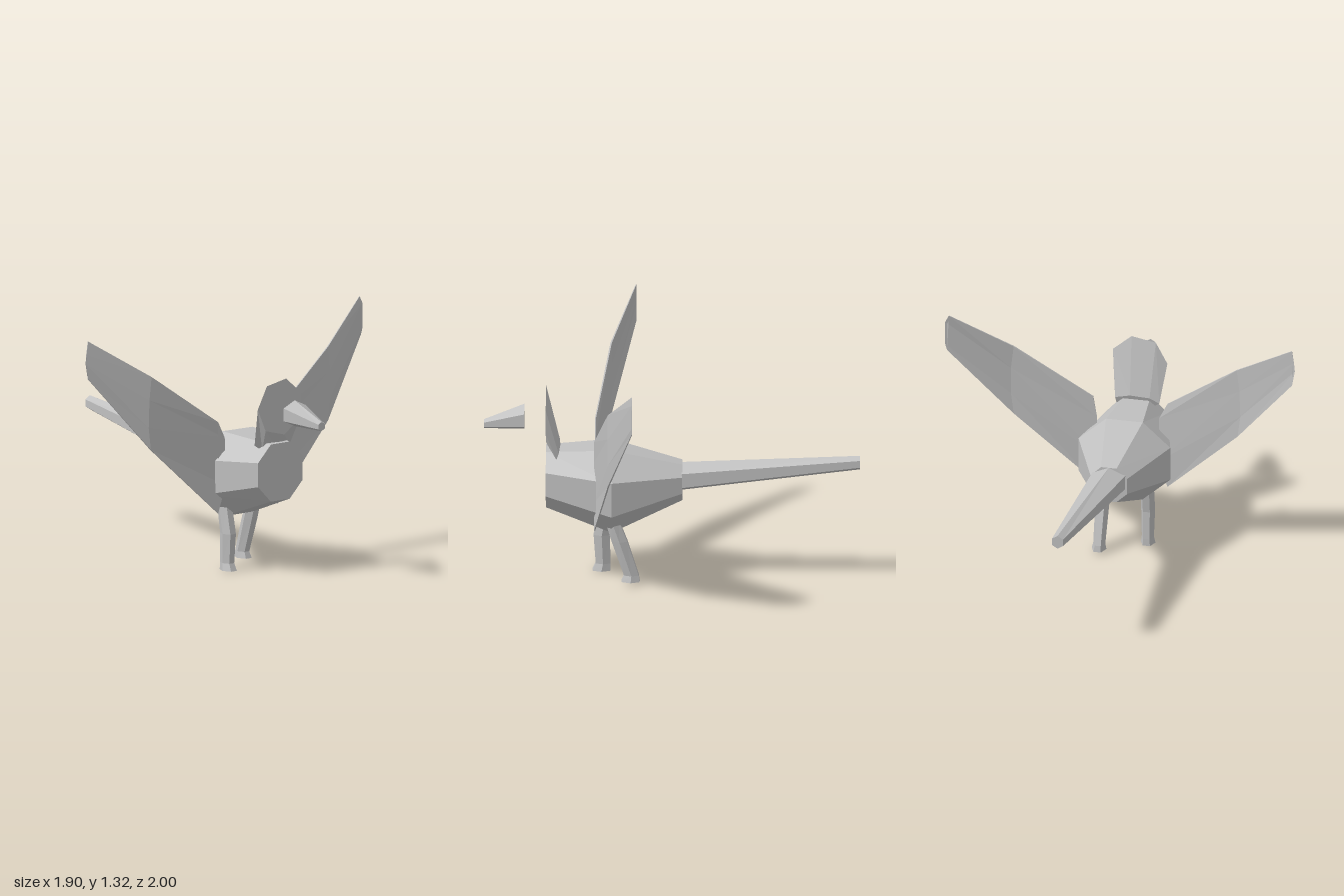
import * as THREE from 'three';

// Flat-shaded skin over a list of equal-length rings, closed at both ends.
function loft(rings) {
  const tris = [];
  const n = rings[0].length;
  for (let r = 0; r < rings.length - 1; r++) {
    for (let i = 0; i < n; i++) {
      const j = (i + 1) % n;
      const a = rings[r][i], b = rings[r][j], c = rings[r + 1][j], d = rings[r + 1][i];
      tris.push([a, b, c], [a, c, d]);
    }
  }
  const first = rings[0], last = rings[rings.length - 1];
  for (let i = 1; i < n - 1; i++) {
    tris.push([first[0], first[i + 1], first[i]], [last[0], last[i], last[i + 1]]);
  }
  // Turn the faces outward if the rings run the other way round
  let volume = 0;
  for (const [a, b, c] of tris) {
    volume += a[0] * (b[1] * c[2] - b[2] * c[1]) + a[1] * (b[2] * c[0] - b[0] * c[2]) + a[2] * (b[0] * c[1] - b[1] * c[0]);
  }
  const out = volume < 0 ? tris.map(([a, b, c]) => [a, c, b]) : tris;
  const geo = new THREE.BufferGeometry();
  geo.setAttribute('position', new THREE.Float32BufferAttribute(out.flat(2), 3));
  geo.computeVertexNormals();
  return geo;
}

// Points around a circle, placed by a rule taking cosine and sine
function ring(sides, startDeg, place) {
  return Array.from({ length: sides }, (_, i) => {
    const t = THREE.MathUtils.degToRad(startDeg) + (i / sides) * Math.PI * 2;
    return place(Math.cos(t), Math.sin(t));
  });
}

export function createModel() {
  const model = new THREE.Group();
  model.name = 'bird';
  const grey = new THREE.MeshStandardMaterial({ color: 0xc0c0c0 });
  grey.name = 'light grey';
  const add = (name, rings) => {
    const mesh = new THREE.Mesh(loft(rings), grey);
    mesh.name = name;
    model.add(mesh);
  };

  // Body: three octagons (z, flat half-width, half-width, top, upper side, lower side, bottom)
  add('body', [
    [0.67, 0.065, 0.153, 0.72, 0.63, 0.5, 0.41],
    [0.32, 0.1, 0.25, 0.74, 0.605, 0.415, 0.28],
    [-0.055, 0.042, 0.1, 0.645, 0.59, 0.5, 0.445],
  ].map(([z, a, w, top, up, low, bottom]) => [
    [a, top, z], [w, up, z], [w, low, z], [a, bottom, z],
    [-a, bottom, z], [-w, low, z], [-w, up, z], [-a, top, z],
  ]));

  // Tail and beak: tapering hexagonal rods (x, y, z, x radius, y radius)
  const rod = (stations) => stations.map(([x, y, z, rx, ry]) =>
    ring(6, 90, (c, s) => [x + rx * c, y + ry * s, z]));
  add('tail', rod([[0, 0.567, -0.05, 0.104, 0.078], [0.065, 0.667, -1, 0.035, 0.038]]));
  add('beak', rod([[0.004, 0.9, 0.785, 0.087, 0.07], [0.012, 0.86, 1, 0.026, 0.025]]));

  // Head: flat heptagon face narrowing back and down to the neck
  add('head', [
    ring(7, 75, (c, s) => [0.155 * c, 0.915 + 0.155 * s, 0.67]),
    ring(7, 75, (c, s) => [0.125 * c, 0.71 + 0.04 * s, 0.607 - 0.014 * s]),
  ]);

  // Wings: thin blades, each station an outline of [x, y] points at one depth
  const wing = (name, side, stations) => add(name, stations.map(([z, half, points]) => {
    const front = points.map(([x, y]) => [side * x, y, z + half]);
    const back = points.map(([x, y]) => [side * x, y, z - half]).reverse();
    return [...front, ...back];
  }));
  wing('leftWing', 1, [
    [0.409, 0.003, [[0.19, 0.82], [0.17, 0.7], [0.165, 0.47], [0.195, 0.325]]],
    [0.331, 0.004, [[0.605, 1.11], [0.62, 0.98], [0.62, 0.83], [0.605, 0.71]]],
    [0.203, 0.002, [[0.93, 1.32], [0.95, 1.28], [0.95, 1.15], [0.94, 1.115]]],
  ]);
  wing('rightWing', -1, [
    [0.409, 0.003, [[0.215, 0.82], [0.17, 0.73], [0.165, 0.47], [0.215, 0.325]]],
    [0.331, 0.004, [[0.61, 1.105], [0.625, 0.98], [0.63, 0.83], [0.615, 0.71]]],
    [0.203, 0.002, [[0.94, 1.32], [0.95, 1.25], [0.955, 1.2], [0.94, 1.115]]],
  ]);

  // Legs: bent hexagonal posts with a flared foot (x, y, z, x radius, z radius)
  const leg = (name, stations) => add(name, stations.map(([x, y, z, rx, rz]) =>
    ring(6, 0, (c, s) => [x + rx * c, y, z + rz * s])));
  leg('leftLeg', [
    [0.11, 0.36, 0.32, 0.038, 0.042],
    [0.112, 0.24, 0.278, 0.038, 0.048],
    [0.113, 0.05, 0.215, 0.033, 0.045],
    [0.115, 0.015, 0.219, 0.04, 0.056],
  ]);
  leg('rightLeg', [
    [-0.117, 0.36, 0.345, 0.038, 0.045],
    [-0.117, 0.2, 0.375, 0.038, 0.05],
    [-0.117, 0.04, 0.368, 0.033, 0.045],
    [-0.117, 0, 0.377, 0.04, 0.055],
  ]);

  return model;
}
